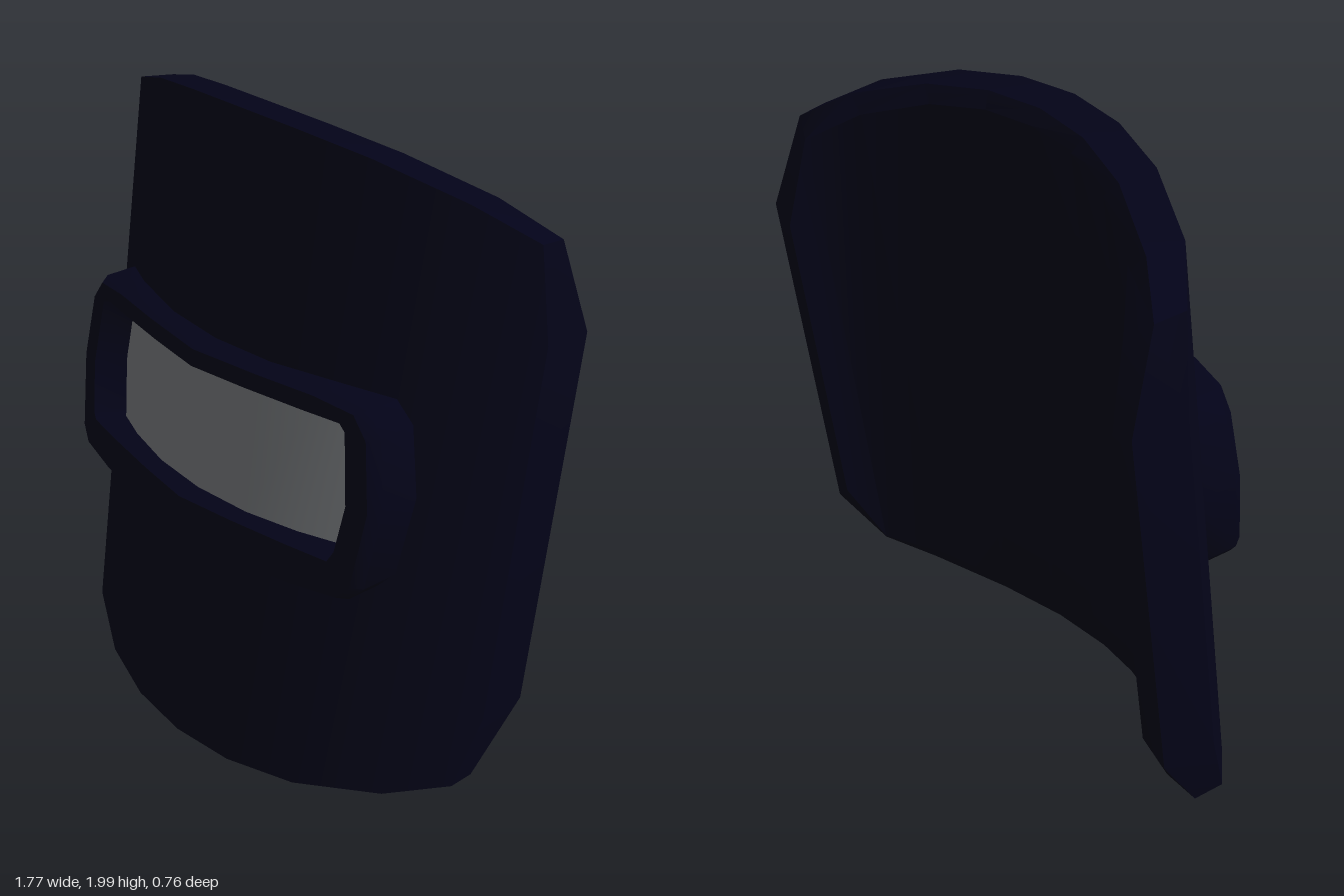
import * as THREE from 'three';
import { toCreasedNormals } from 'three/addons/utils/BufferGeometryUtils.js';

// Depth of the curved, leaning front face
const lean = (y) => 0.383 - 0.136 * y;
const sag = (x) => 0.42 * x * x + 0.25 * Math.abs(x) ** 12;
const frontZ = (x, y) => lean(y) - sag(x);

// Skin between rows of [x, y, z] points; optionally closing either direction or capping the ends
function loft(rows, { closeRow = false, closeRows = false, caps = false } = {}) {
  const pos = rows.flat(2);
  const idx = [];
  const n = rows[0].length;
  const m = rows.length;
  for (let i = 0; i < (closeRows ? m : m - 1); i++) {
    for (let j = 0; j < (closeRow ? n : n - 1); j++) {
      const i2 = (i + 1) % m, j2 = (j + 1) % n;
      const a = i * n + j, b = i2 * n + j, c = i2 * n + j2, d = i * n + j2;
      idx.push(a, b, c, a, c, d);
    }
  }
  if (caps) {
    // Each end: rim strip (0,1,2,5) and inner strip (2,3,4,5)
    for (const [a, b, c, d] of [[0, 1, 2, 5], [5, 2, 3, 4]]) {
      idx.push(a, b, c, a, c, d);
      const o = (m - 1) * n;
      idx.push(o + a, o + c, o + b, o + a, o + d, o + c);
    }
  }
  const g = new THREE.BufferGeometry();
  g.setAttribute('position', new THREE.Float32BufferAttribute(pos, 3));
  g.setIndex(idx);
  return toCreasedNormals(g, 0.65);
}

// Mirror a list of half-profile entries (first one lies on the centre line)
const mirrored = (half) => [
  ...half.slice(1).reverse().map(([x, ...r]) => [-x, ...r]),
  ...half,
];

// Close a right-hand outline running from top centre to bottom centre
const loop = (right) => [
  ...right,
  ...right.slice(1, -1).reverse().map(([x, y]) => [-x, y]),
];

export function createModel() {
  const navy = new THREE.MeshStandardMaterial({ color: 0x030318 });
  navy.name = 'dark navy';
  const grey = new THREE.MeshStandardMaterial({ color: 0x777a7d });
  grey.name = 'window grey';

  const group = new THREE.Group();
  const add = (name, geometry, material) => {
    const mesh = new THREE.Mesh(geometry, material);
    mesh.name = name;
    group.add(mesh);
  };

  // Curved shield plate: columns of x, bottom, top
  const columns = mirrored([
    [0, 0.02, 2], [0.22, 0.024, 1.99], [0.45, 0.04, 1.955],
    [0.7, 0.085, 1.875], [0.85, 0.135, 1.78], [0.885, 0.36, 1.5],
  ]);
  const plate = columns.map(([x, bottom, top]) => {
    const rimX = x * 0.985, backX = x * 0.895;
    const rimSag = 0.12 + 0.42 * x * x + 0.11 * Math.abs(x / 0.885) ** 60;
    const backSag = 0.155 + 0.47 * backX ** 2 + 0.11 * Math.abs(backX / 0.79) ** 24;
    const rim = (y) => [rimX, y - 0.014, lean(y) - rimSag];
    const back = (y) => [backX, y, lean(y) - backSag];
    return [
      [x, bottom, frontZ(x, bottom)], [x, top, frontZ(x, top)],
      rim(top), back(top - 0.06), back(bottom + 0.05), rim(bottom),
    ];
  });
  add('shieldPlate', loft(plate, { closeRow: true, caps: true }), navy);

  // Raised window frame: clockwise loops of [x, y] from the top centre
  const outer = loop([[0, 1.33], [0.25, 1.33], [0.45, 1.33], [0.59, 1.315], [0.64, 1.25],
    [0.675, 1.04], [0.65, 0.8], [0.61, 0.755], [0.45, 0.74], [0.25, 0.735], [0, 0.735]]);
  const inner = loop([[0, 1.27], [0.2, 1.27], [0.4, 1.27], [0.53, 1.27], [0.55, 1.25],
    [0.582, 1.04], [0.562, 0.88], [0.545, 0.86], [0.4, 0.86], [0.2, 0.86], [0, 0.86]]);
  const opening = loop([[0, 1.25], [0.2, 1.25], [0.38, 1.25], [0.49, 1.25], [0.5, 1.23],
    [0.53, 1.04], [0.508, 0.885], [0.5, 0.865], [0.38, 0.865], [0.2, 0.865], [0, 0.865]]);
  const raisedZ = (x, y) => lean(y) + 0.083 - 0.12 * Math.abs(x) - 0.09 * x * x;
  const frame = outer.map(([x, y], i) => {
    const [u, v] = inner[i];
    const [p, q] = opening[i];
    const fx = x * 0.965, fy = 1.03 + (y - 1.03) * 0.97;
    return [
      [p, q, frontZ(p, q) - 0.01],
      [u, v, raisedZ(u, v)],
      [fx, fy, raisedZ(fx, fy)],
      [x, y, raisedZ(x, y) - 0.03],
      [x, y, frontZ(x, y) - 0.02],
    ];
  });
  add('windowFrame', loft(frame, { closeRows: true }), navy);

  // Window pane following the plate's curve
  const glass = mirrored([
    [0, 0.86, 1.25], [0.2, 0.86, 1.25], [0.38, 0.86, 1.25],
    [0.495, 0.86, 1.25], [0.535, 1.03, 1.05],
  ]).map(([x, bottom, top]) => [bottom, top].map((y) => [x, y, frontZ(x, y) + 0.012]));
  add('windowPane', loft(glass), grey);

  return group;
}
